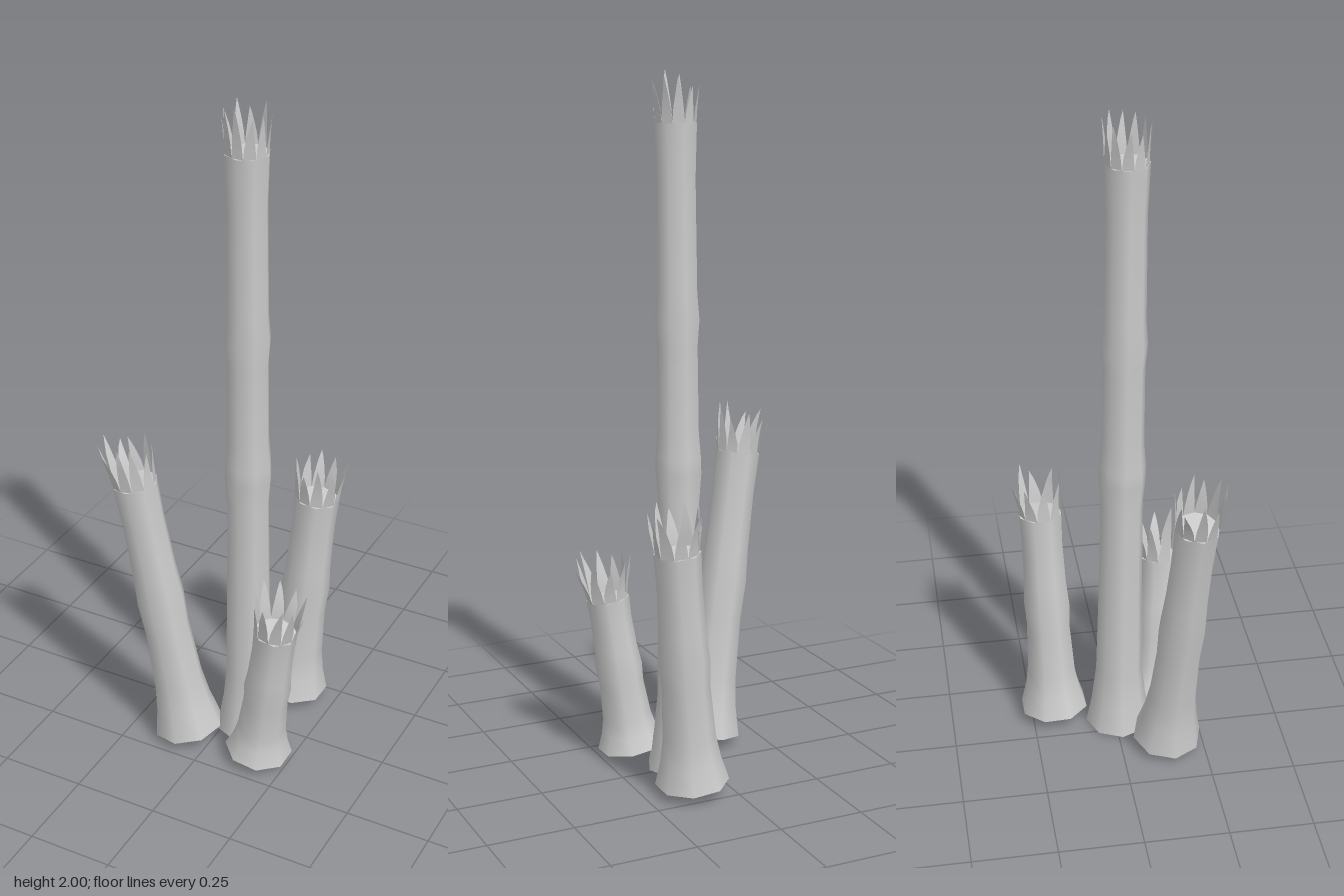
import * as THREE from 'three';

const SIDES = 8;

// Small seeded generator for the ragged crowns
function seeded(seed) {
  let s = seed;
  return () => (s = (s * 16807) % 2147483647) / 2147483647;
}

// Radius of the eight-sided section in the direction of an angle
function sectionRadius(r, angle) {
  const step = (Math.PI * 2) / SIDES;
  const a = ((angle % step) + step) % step;
  return (r * Math.cos(step / 2)) / Math.cos(a - step / 2);
}

// Ring of pointed, outward-bending splinters standing on the stem's rim
function crownGeometry(r, height, flare, count, seed) {
  const rand = seeded(seed);
  const rows = [[0, 1], [0.3, 0.82], [0.6, 0.5], [0.82, 0.25], [1, 0.02]]; // height, width
  const pos = [], index = [];
  for (let i = 0; i < count; i++) {
    const mid = (i / count) * Math.PI * 2;
    const h = i === 0 ? height : height * (0.68 + 0.32 * rand());
    const out = flare * (0.5 + 0.5 * rand());
    const lean = (rand() - 0.5) * 0.35;
    const start = pos.length / 3;
    rows.forEach(([u, w], k) => {
      for (const side of [-1, 1]) {
        const a = mid + lean * u * u + (side * w * Math.PI) / count;
        const d = sectionRadius(r, a) + out * Math.pow(u, 1.4);
        pos.push(d * Math.sin(a), h * u, d * Math.cos(a));
      }
      if (k > 0) {
        const b = start + (k - 1) * 2;
        index.push(b, b + 1, b + 3, b, b + 3, b + 2);
      }
    });
  }
  const geo = new THREE.BufferGeometry();
  geo.setAttribute('position', new THREE.Float32BufferAttribute(pos, 3));
  geo.setIndex(index);
  geo.computeVertexNormals();
  return geo;
}

// One stalk: knotted stem, flat ends and splintered crown, tilted from base to top
function createStalk({ name, base, top, spin, profile, crown, flare, count, seed }, materials) {
  const from = new THREE.Vector3(...base);
  const axis = new THREE.Vector3(...top).sub(from);
  const length = axis.length();
  const stalk = new THREE.Group();
  stalk.name = name;
  stalk.position.copy(from);
  stalk.quaternion.setFromUnitVectors(new THREE.Vector3(0, 1, 0), axis.normalize());
  stalk.quaternion.multiply(new THREE.Quaternion().setFromAxisAngle(new THREE.Vector3(0, 1, 0), spin));

  const add = (part, geometry, material, y) => {
    const mesh = new THREE.Mesh(geometry, material);
    mesh.name = part;
    mesh.position.y = y;
    stalk.add(mesh);
  };
  const points = profile.map(([t, r]) => new THREE.Vector2(r, t * length));
  const rTop = points[points.length - 1].x;
  add('stem', new THREE.LatheGeometry(points, SIDES), materials.solid, 0);
  add('bottom', new THREE.CircleGeometry(points[0].x, SIDES).rotateX(Math.PI / 2), materials.solid, 0);
  add('cutTop', new THREE.CircleGeometry(rTop, SIDES).rotateX(-Math.PI / 2), materials.solid, length);
  add('splinters', crownGeometry(rTop, crown, flare, count, seed), materials.thin, length);
  return stalk;
}

export function createModel() {
  const materials = {
    solid: new THREE.MeshStandardMaterial({ color: 0xcccccc }),
    thin: new THREE.MeshStandardMaterial({ color: 0xcccccc, side: THREE.DoubleSide }),
  };
  // [fraction of length, radius]
  const tallProfile = [
    [0, 0.1], [0.05, 0.083], [0.11, 0.071], [0.25, 0.066], [0.43, 0.062], [0.475, 0.069],
    [0.5, 0.068], [0.54, 0.062], [0.67, 0.06], [0.71, 0.066], [0.75, 0.06], [0.92, 0.057], [1, 0.062],
  ];
  const shortProfile = [
    [0, 0.105], [0.1, 0.086], [0.2, 0.075], [0.42, 0.068], [0.54, 0.072], [0.66, 0.066],
    [0.86, 0.063], [1, 0.066],
  ];
  const stalks = [
    { name: 'tallStalk', base: [0.06, 0, 0.012], top: [0.06, 1.86, 0.035], spin: 0,
      profile: tallProfile, crown: 0.14, flare: 0.014, count: 11, seed: 11 },
    { name: 'rightStalk', base: [-0.08, 0.035, 0.14], top: [-0.212, 0.88, 0.19], spin: 0.1,
      profile: shortProfile, crown: 0.14, flare: 0.022, count: 11, seed: 29 },
    { name: 'backStalk', base: [0.115, 0.035, -0.182], top: [0.17, 0.72, -0.206], spin: Math.PI / 8,
      profile: shortProfile, crown: 0.13, flare: 0.022, count: 10, seed: 47 },
    { name: 'frontStalk', base: [0.16, 0.035, 0.143], top: [0.222, 0.49, 0.165], spin: Math.PI / 8,
      profile: shortProfile.map(([t, r]) => [t, r * 0.95]), crown: 0.14, flare: 0.03, count: 10, seed: 83 },
  ];
  const model = new THREE.Group();
  model.name = 'stalkCluster';
  stalks.forEach((spec) => model.add(createStalk(spec, materials)));
  return model;
}
